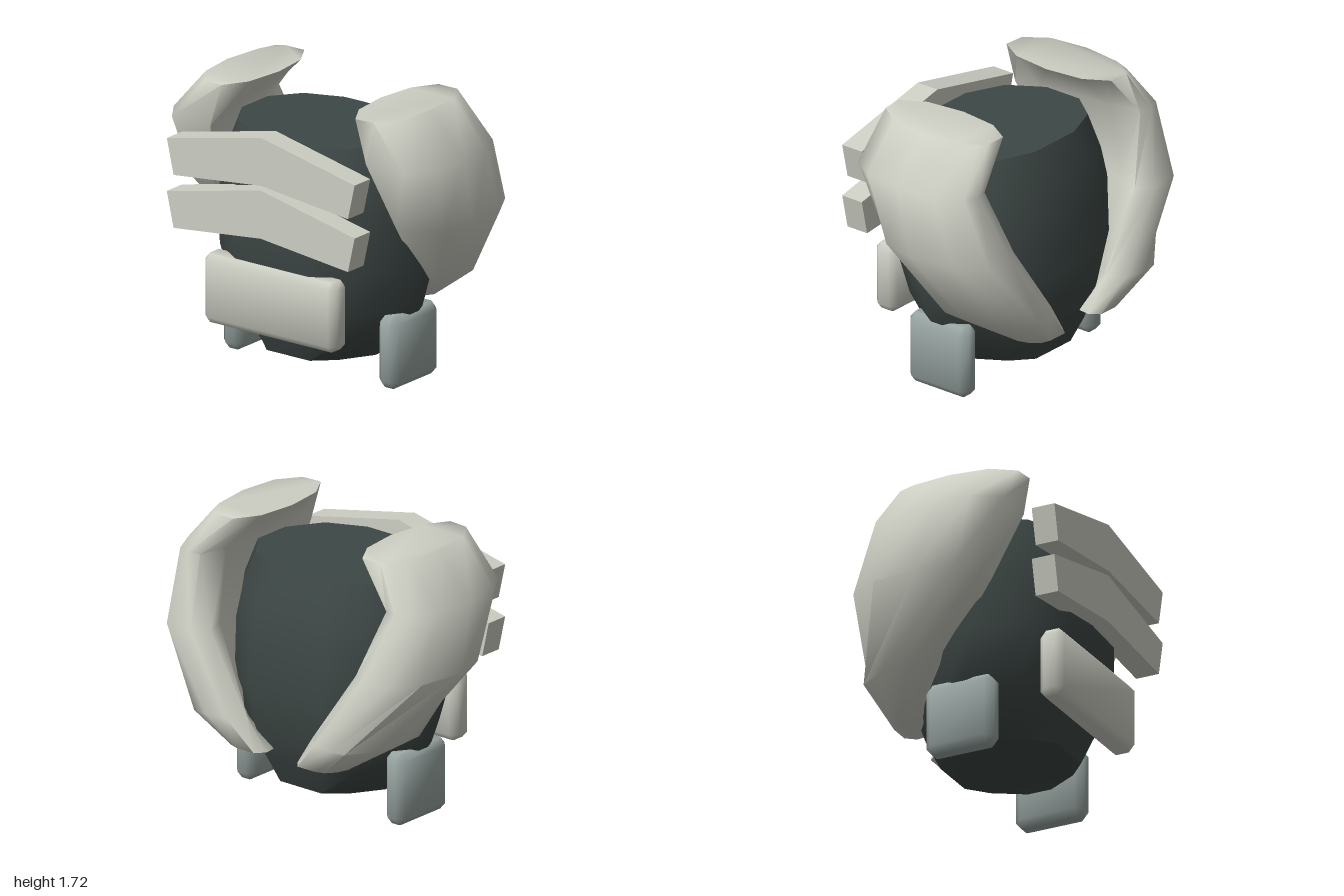
import * as THREE from 'three';
import { toCreasedNormals } from 'three/addons/utils/BufferGeometryUtils.js';

const material = (color) => new THREE.MeshStandardMaterial({ color });
const pale = material(0xcccec3);
const dark = material(0x3d4745);
const slate = material(0x98a5a2);

// Closed loft through horizontal rings: [{ y, pts: [[x, z], ...] }], bottom to top
function loft(rings, crease) {
  const loops = rings.map(({ y, pts }) => ({ y, pts: pts.map(([x, z]) => new THREE.Vector2(x, -z)) }));
  for (const loop of loops) if (THREE.ShapeUtils.isClockWise(loop.pts)) loop.pts.reverse();
  const n = loops[0].pts.length;
  const positions = [];
  const index = [];
  for (const { y, pts } of loops) for (const p of pts) positions.push(p.x, y, -p.y);
  for (let r = 0; r < loops.length - 1; r++) {
    for (let i = 0; i < n; i++) {
      const a = r * n + i;
      const b = r * n + (i + 1) % n;
      index.push(a, b, b + n, a, b + n, a + n);
    }
  }
  const last = (loops.length - 1) * n;
  for (const [a, b, c] of THREE.ShapeUtils.triangulateShape(loops[0].pts, [])) index.push(a, c, b);
  for (const [a, b, c] of THREE.ShapeUtils.triangulateShape(loops.at(-1).pts, [])) index.push(last + a, last + b, last + c);
  const geometry = new THREE.BufferGeometry();
  geometry.setAttribute('position', new THREE.Float32BufferAttribute(positions, 3));
  geometry.setIndex(index);
  return toCreasedNormals(geometry, crease);
}

// Repeats one quarter outline, given for a half width and two depths, around the y axis
function mirrorQuarter(quarter, w, front, back) {
  const place = (sx, z) => quarter.map(([x, q]) => [sx * x * w, q * z]);
  return [...place(1, front), ...place(-1, front).reverse(), ...place(-1, back), ...place(1, back).reverse()];
}

// Twelve-sided body section: height, half width, front z, back z, side flat, front flat, corner share
const bodyRing = ([y, w, front, back, side, flat, corner]) => ({
  y, pts: mirrorQuarter([[1, side], [corner, corner], [flat, 1]], w, front, back),
});

// Box with chamfered edges, shaded smoothly
function chamferBox(w, h, d, c) {
  const [x, y, z] = [w / 2, h / 2, d / 2];
  const full = mirrorQuarter([[x, z - c], [x - c, z]], 1, 1, -1);
  const inset = mirrorQuarter([[x - 0.85 * c, z - c], [x - c, z - 0.85 * c]], 1, 1, -1);
  return loft([{ y: -y, pts: inset }, { y: c - y, pts: full }, { y: y - c, pts: full }, { y, pts: inset }], 1.1);
}

// Shoulder shell sections: front rim, outer face, back rim, inner face
const shellRings = [
  { y: 0.38, pts: [[0.33, -0.41], [0.4, -0.4], [0.43, -0.45], [0.41, -0.52], [0.36, -0.58], [0.3, -0.6],
    [0.17, -0.6], [0.12, -0.54], [0.13, -0.46], [0.2, -0.42], [0.28, -0.4]] },
  { y: 0.57, pts: [[0.6, -0.13], [0.71, -0.13], [0.72, -0.28], [0.68, -0.5], [0.58, -0.66], [0.48, -0.67],
    [0.34, -0.65], [0.25, -0.56], [0.34, -0.48], [0.46, -0.4], [0.55, -0.27]] },
  { y: 1.03, pts: [[0.68, 0.24], [0.82, 0.25], [0.95, 0.12], [1, -0.1], [0.96, -0.4], [0.85, -0.59],
    [0.66, -0.6], [0.56, -0.53], [0.62, -0.38], [0.66, -0.2], [0.66, 0.05]] },
  { y: 1.45, pts: [[0.58, 0.4], [0.86, 0.41], [0.97, 0.25], [1, 0], [0.97, -0.25], [0.89, -0.42],
    [0.8, -0.46], [0.72, -0.44], [0.68, -0.25], [0.66, 0], [0.62, 0.25]] },
  { y: 1.72, pts: [[0.5, 0.4], [0.63, 0.39], [0.73, 0.25], [0.76, 0], [0.73, -0.25], [0.69, -0.36],
    [0.64, -0.4], [0.5, -0.4], [0.41, -0.25], [0.38, 0], [0.41, 0.25]] },
];

export function createModel() {
  const model = new THREE.Group();
  const add = (name, geometry, mat, x = 0, y = 0, z = 0) => {
    const mesh = new THREE.Mesh(geometry, mat);
    mesh.name = name;
    mesh.position.set(x, y, z);
    model.add(mesh);
  };

  // Rounded torso, narrowing to a ridge at the lower flanks
  const sections = [
    [0.14, 0.4, 0.4, -0.37, 0.2, 0.4, 0.71], [0.3, 0.53, 0.46, -0.44, 0.12, 0.38, 0.7],
    [0.47, 0.66, 0.51, -0.49, 0.08, 0.36, 0.69], [0.74, 0.69, 0.56, -0.52, 0.22, 0.4, 0.73],
    [1.1, 0.67, 0.555, -0.49, 0.27, 0.42, 0.75], [1.28, 0.64, 0.52, -0.45, 0.28, 0.4, 0.75],
    [1.5, 0.55, 0.45, -0.38, 0.3, 0.33, 0.76],
  ];
  add('body', loft(sections.map(bodyRing), 1.1), dark);

  // Mirrored shells and hip pads
  for (const [side, s] of [['left', 1], ['right', -1]]) {
    const rings = shellRings.map(({ y, pts }) => ({ y, pts: pts.map(([x, z]) => [s * x, z]) }));
    add(side + 'ShoulderShell', loft(rings, 1.45), pale);
    add(side + 'HipPad', chamferBox(0.145, 0.45, 0.45, 0.045), slate, s * 0.58, 0.225, -0.005);
  }

  // Chevron chest bars
  const chevron = new THREE.Shape([[-0.65, 0], [0, 0.07], [0.65, 0], [0.7, 0.22], [0, 0.37], [-0.7, 0.22]]
    .map(([x, y]) => new THREE.Vector2(x, y)));
  const bar = new THREE.ExtrudeGeometry(chevron, { depth: 0.15, bevelEnabled: false });
  add('upperChestBar', bar, pale, 0, 1.2, 0.515);
  add('lowerChestBar', bar, pale, 0, 0.87, 0.515);

  // Belly plate
  add('bellyPlate', chamferBox(0.98, 0.43, 0.16, 0.04), pale, 0, 0.515, 0.525);

  return model;
}
